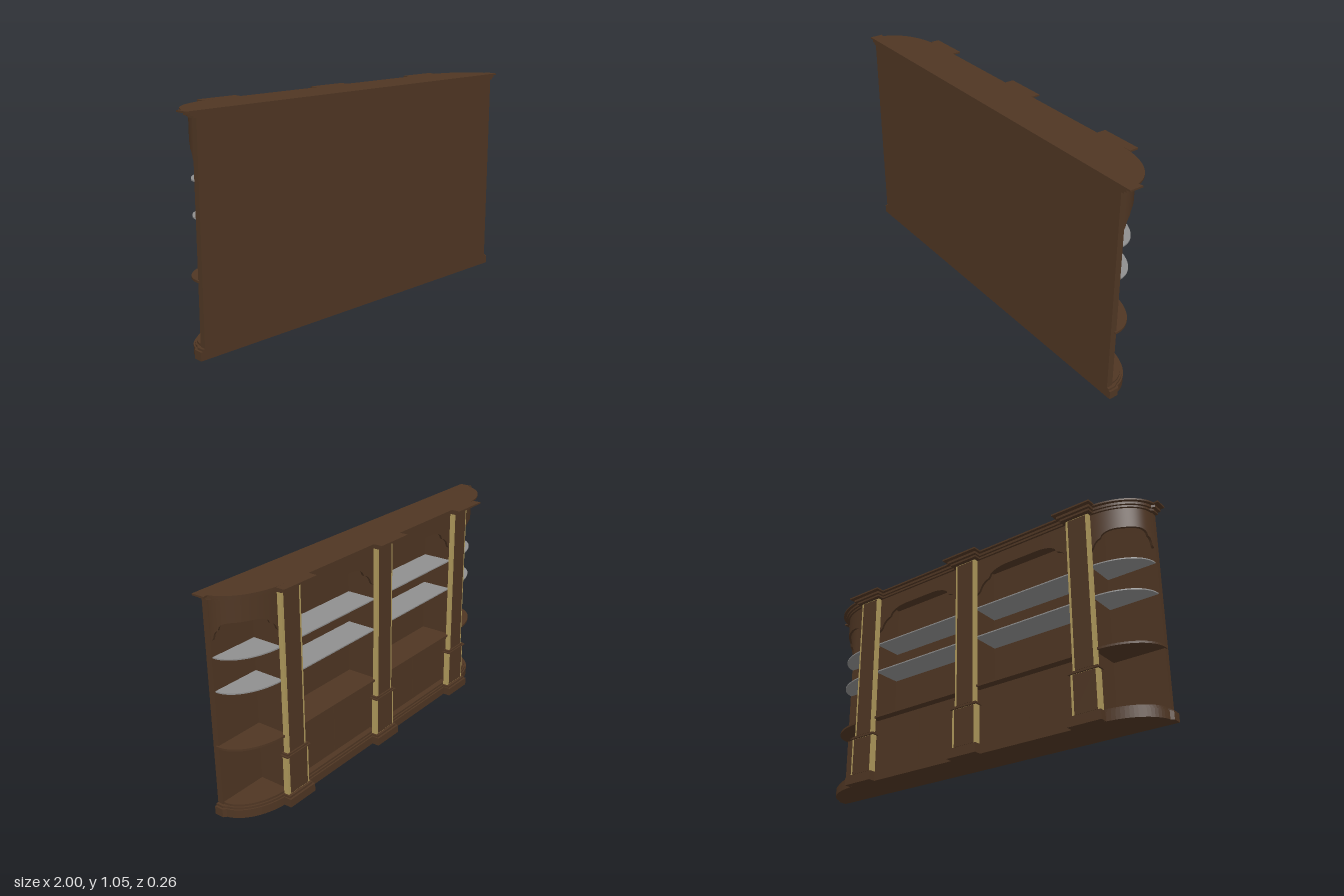
import * as THREE from 'three';

const BACK = 0.13, PILASTERS = [-0.655, 0, 0.655];

export function createModel() {
  const group = new THREE.Group();
  const mat = (name, color, side = THREE.FrontSide) => {
    const m = new THREE.MeshStandardMaterial({ color, side });
    m.name = name;
    return m;
  };
  const wood = mat('dark wood', 0x4f3623);
  const woodSheet = mat('dark wood sheet', 0x4f3623, THREE.DoubleSide);
  const gold = mat('gold trim', 0xb09a5c);
  const glass = mat('grey shelf', 0x8f8f8f);

  const add = (name, geo, m) => {
    const mesh = new THREE.Mesh(geo, m);
    mesh.name = name;
    group.add(mesh);
    return mesh;
  };
  const box = (name, m, x0, x1, y0, y1, z0, z1) => {
    const g = new THREE.BoxGeometry(x1 - x0, y1 - y0, z1 - z0);
    g.translate((x0 + x1) / 2, (y0 + y1) / 2, (z0 + z1) / 2);
    return add(name, g, m);
  };

  // Point on the rounded end, a from 0 (back corner) to 1 (straight front)
  const endPoint = (a, o, s) => {
    const t = a * Math.PI / 2;
    return [s * (0.70 + (0.245 + o) * Math.cos(t)), 0.1 - (0.155 + o) * Math.sin(t)];
  };

  // Plan outline grown by o, with optional corner posts and pilaster breaks
  const outline = (o, breaks, back = BACK) => {
    const pts = [];
    const post = 0.95 + o * 1.4;
    if (breaks) pts.push([post, back], [post, 0.1 - o]);
    else pts.push([0.945 + o, back]);
    for (let i = breaks ? 2 : 0; i <= 20; i++) pts.push(endPoint(i / 20, o, 1));
    if (breaks) {
      const front = -0.055 - o, w = 0.07 + o * 0.9, out = -0.085 - o * 1.4;
      for (const x of [...PILASTERS].reverse()) {
        pts.push([x + w, front], [x + w, out], [x - w, out], [x - w, front]);
      }
    }
    for (let i = 20; i >= (breaks ? 2 : 0); i--) pts.push(endPoint(i / 20, o, -1));
    if (breaks) pts.push([-post, 0.1 - o], [-post, back]);
    else pts.push([-0.945 - o, back]);
    return new THREE.Shape(pts.map(([x, z]) => new THREE.Vector2(x, z)));
  };
  const slab = (name, m, shape, y0, y1) => {
    const g = new THREE.ExtrudeGeometry(shape, { depth: y1 - y0, bevelEnabled: false });
    g.rotateX(Math.PI / 2);
    g.translate(0, y1, 0);
    return add(name, g, m);
  };

  // Plinth and stepped cornice
  slab('plinth', wood, outline(0.015, true), 0, 0.04);
  slab('plinthMoulding', wood, outline(0.008, true), 0.04, 0.05);
  slab('floor', wood, outline(0, false, 0.11), 0.05, 0.06);
  slab('corniceLower', wood, outline(0.010, true), 1.02, 1.03);
  slab('corniceMiddle', wood, outline(0.020, true), 1.03, 1.042);
  slab('corniceTop', wood, outline(0.035, true), 1.042, 1.05);

  // Back panel, counter and shelves
  box('backPanel', wood, -0.95, 0.95, 0.05, 1.02, 0.1, BACK);
  slab('counter', wood, outline(0.012, false, 0.11), 0.335, 0.345);
  for (const y of [0.602, 0.758]) {
    slab('shelf', glass, outline(-0.001, false, 0.101), y - 0.003, y + 0.003);
  }

  // Dividers and layered pilasters
  for (const x of PILASTERS) {
    box('divider', wood, x - 0.045, x + 0.045, 0.05, 1.02, -0.06, 0.1);
    box('pilasterShaft', gold, x - 0.06, x + 0.06, 0.25, 1.02, -0.078, -0.056);
    box('pilasterFace', wood, x - 0.046, x + 0.046, 0.26, 1.015, -0.082, -0.077);
    box('pilasterBlock', gold, x - 0.07, x + 0.07, 0.05, 0.245, -0.083, -0.056);
    box('pilasterBlockFace', wood, x - 0.056, x + 0.056, 0.055, 0.24, -0.087, -0.082);
    box('blockCap', wood, x - 0.078, x + 0.078, 0.243, 0.249, -0.092, -0.05);
    box('blockCapUpper', wood, x - 0.07, x + 0.07, 0.249, 0.257, -0.086, -0.05);
  }

  // Pairs of cupboard doors below the counter
  for (const s of [-1, 1]) {
    const mid = s * 0.3275;
    box('doorLeft', wood, mid + 0.0015, mid + 0.285, 0.06, 0.335, -0.025, -0.01);
    box('doorRight', wood, mid - 0.285, mid - 0.0015, 0.06, 0.335, -0.025, -0.01);
  }

  // Lower edge of a fascia: a foot, a cove, a small step, then the arch
  const archEdge = (u, foot, top) => {
    const d = Math.min(u, 1 - u), h = top - foot;
    if (d < 0.06) return foot + h * 0.2 * (d / 0.06) ** 2;
    if (d < 0.12) return foot + h * (0.2 + 0.35 * Math.sqrt((d - 0.06) / 0.06));
    if (d < 0.15) return foot + h * 0.57;
    const k = Math.min(1, (d - 0.15) / 0.2);
    return foot + h * (0.6 + 0.4 * Math.sqrt(1 - (1 - k) ** 2));
  };

  // Arched board swept along a plan path; at(u, depth) gives [x, z]
  const fascia = (name, at, foot, top) => {
    const n = 60, pos = [], idx = [];
    // Outer face, soffit, inner face
    const strips = [[0, 1, 0, 0], [0, 0, 1, 0], [1, 0, 1, 1]];
    for (const [da, ya, db, yb] of strips) {
      const first = pos.length / 3;
      for (let i = 0; i <= n; i++) {
        const u = i / n, edge = archEdge(u, foot, top);
        const pa = at(u, da * 0.012), pb = at(u, db * 0.012);
        pos.push(pa[0], ya ? 1.02 : edge, pa[1], pb[0], yb ? 1.02 : edge, pb[1]);
        if (i < n) {
          const k = first + i * 2;
          idx.push(k, k + 1, k + 2, k + 1, k + 3, k + 2);
        }
      }
    }
    const g = new THREE.BufferGeometry();
    g.setAttribute('position', new THREE.Float32BufferAttribute(pos, 3));
    g.setIndex(idx);
    g.computeVertexNormals();
    return add(name, g, woodSheet);
  };

  for (const s of [-1, 1]) {
    // u runs along -x so that the outer face looks to -z
    fascia('bayArch', (u, d) => [s * 0.3275 + 0.2825 - 0.565 * u, -0.055 + d], 0.83, 0.945);
    fascia('endArch', (u, d) => endPoint(s > 0 ? u : 1 - u, -d, s), 0.835, 0.92);
  }

  return group;
}
